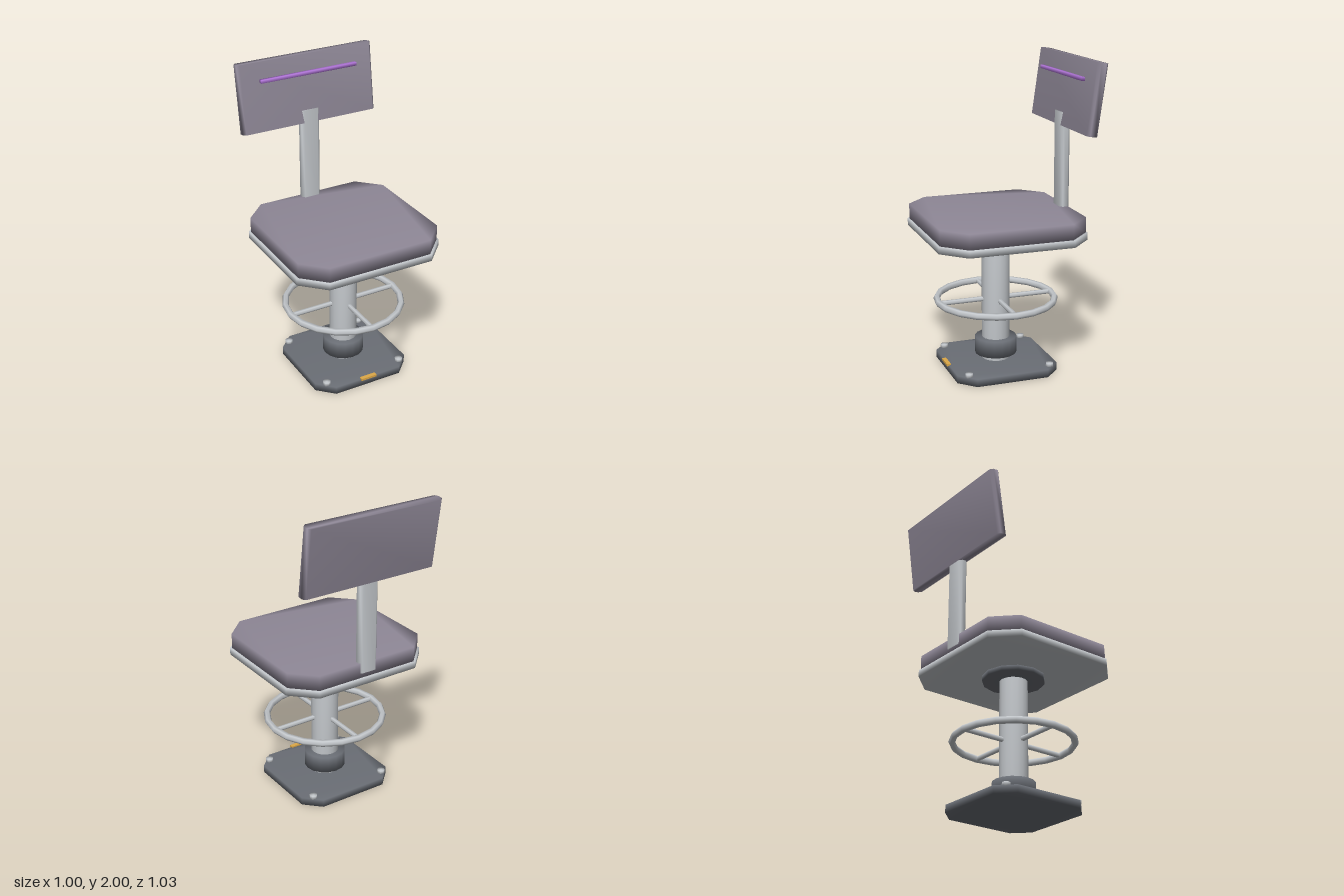
import * as THREE from 'three';
import { mergeVertices } from 'three/addons/utils/BufferGeometryUtils.js';

const mat = (color) => new THREE.MeshStandardMaterial({ color });
const metal = mat(0xc4c8cc);
const darkMetal = mat(0x6a6e75);
const padding = mat(0x8f8897);
const purple = mat(0xb478dc);
const yellow = mat(0xdca848);

// Share corners so shading flows softly over the edges
function soften(geometry) {
  geometry.deleteAttribute('uv');
  geometry.deleteAttribute('normal');
  const merged = mergeVertices(geometry, 1e-4);
  merged.computeVertexNormals();
  return merged;
}

// Upright slab, standing on y = 0, with its four vertical edges cut off
function cutSlab(width, height, depth, cut) {
  const x = width / 2, z = depth / 2;
  const outline = [
    [x - cut, -z], [x, cut - z], [x, z - cut], [x - cut, z],
    [cut - x, z], [-x, z - cut], [-x, cut - z], [cut - x, -z],
  ].map(([a, b]) => new THREE.Vector2(a, b));
  const geometry = new THREE.ExtrudeGeometry(new THREE.Shape(outline), { depth: height, bevelEnabled: false });
  geometry.rotateX(-Math.PI / 2);
  return soften(geometry);
}

const drum = (radius, height, sides = 16) =>
  soften(new THREE.CylinderGeometry(radius, radius, height, sides).translate(0, height / 2, 0));

function add(parent, name, geometry, material, x = 0, y = 0, z = 0) {
  const mesh = new THREE.Mesh(geometry, material);
  mesh.name = name;
  mesh.position.set(x, y, z);
  parent.add(mesh);
  return mesh;
}

export function createModel() {
  const stool = new THREE.Group();
  stool.name = 'stool';

  // Everything below the backrest shares one axis, slightly forward
  const lower = new THREE.Group();
  lower.name = 'pedestalAndSeat';
  lower.position.z = 0.035;
  stool.add(lower);

  // Base plate with corner bolts and front tag
  add(lower, 'basePlate', cutSlab(0.67, 0.05, 0.67, 0.1), darkMetal);
  for (const sx of [-1, 1]) for (const sz of [-1, 1])
    add(lower, 'baseBolt', drum(0.025, 0.025, 8), metal, sx * 0.27, 0.045, sz * 0.27);
  add(lower, 'baseTag', new THREE.BoxGeometry(0.11, 0.015, 0.027), yellow, 0, 0.0525, 0.336);

  // Pedestal
  add(lower, 'column', drum(0.09, 0.84), metal, 0, 0.045, 0);
  add(lower, 'collar', drum(0.135, 0.11), darkMetal, 0, 0.085, 0);
  add(lower, 'seatMount', drum(0.2, 0.035, 12), darkMetal, 0, 0.86, 0);

  // Foot ring on four spokes
  const footrest = new THREE.Group();
  footrest.name = 'footrest';
  footrest.position.y = 0.455;
  lower.add(footrest);
  add(footrest, 'footRing', new THREE.TorusGeometry(0.38, 0.022, 6, 20).rotateX(Math.PI / 2), metal);
  for (let i = 0; i < 4; i++) {
    const spoke = new THREE.CylinderGeometry(0.016, 0.016, 0.31, 6);
    spoke.rotateZ(Math.PI / 2).translate(0.225, 0, 0).rotateY(i * Math.PI / 2);
    add(footrest, 'footRingSpoke', spoke, metal);
  }

  // Seat
  add(lower, 'seatRim', cutSlab(1.005, 0.045, 0.96, 0.145), metal, 0, 0.892, 0);
  add(lower, 'seatCushion', cutSlab(0.98, 0.1, 0.94, 0.14), padding, 0, 0.935, 0);

  // Backrest post, its top showing through the pad's front
  add(stool, 'backPost', cutSlab(0.13, 0.675, 0.064, 0.018), metal, 0, 0.97, -0.413);

  // Backrest pad leaning back
  const pad = cutSlab(0.94, 0.442, 0.07, 0.018).translate(0, -0.221, 0);
  add(stool, 'backrest', pad, padding, 0, 1.776, -0.447).rotation.x = -0.14;

  // Accent strip in front of the pad
  add(stool, 'accentStrip', soften(new THREE.BoxGeometry(0.67, 0.022, 0.022)), purple, 0, 1.888, -0.404);

  return stool;
}
